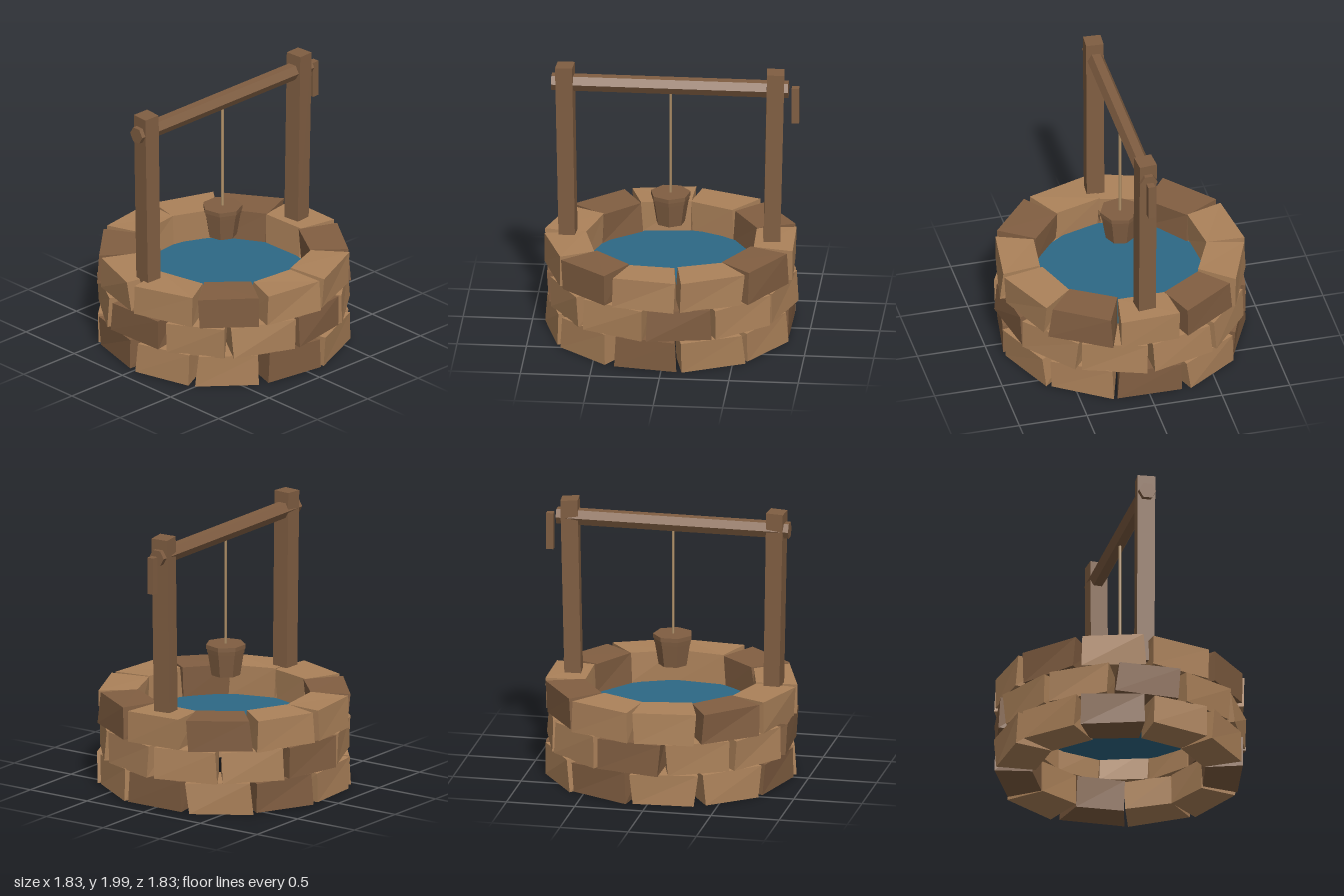
import * as THREE from 'three';

const mat = (name, color, side = THREE.FrontSide) => {
  const m = new THREE.MeshStandardMaterial({ color, side, flatShading: true });
  m.name = name;
  return m;
};

export function createModel() {
  const well = new THREE.Group();
  well.name = 'well';
  const lightStone = mat('light stone', 0xac825a);
  const darkStone = mat('dark stone', 0x825f42);
  const wood = mat('wood', 0x805e42);
  const water = mat('water', 0x2d6986);
  const rope = mat('rope', 0xb09068);

  // Seeded jitter in the range -1..1
  let seed = 11;
  const jitter = () => {
    seed = (seed * 16807) % 2147483647;
    return (seed / 2147483647) * 2 - 1;
  };

  const add = (name, geometry, material, parent = well, x = 0, y = 0, z = 0) => {
    const mesh = new THREE.Mesh(geometry, material);
    mesh.name = name;
    mesh.position.set(x, y, z);
    parent.add(mesh);
    return mesh;
  };

  // Moves each of a unit box's eight corners by a rule
  const cornerBox = (rule) => {
    const g = new THREE.BoxGeometry(1, 1, 1).toNonIndexed();
    const p = g.attributes.position;
    const corners = new Map();
    for (let i = 0; i < p.count; i++) {
      const s = [p.getX(i), p.getY(i), p.getZ(i)].map(Math.sign);
      const key = s.join();
      if (!corners.has(key)) corners.set(key, rule(...s));
      p.setXYZ(i, ...corners.get(key));
    }
    g.computeVertexNormals();
    return g;
  };

  // Wall: three staggered rings of rough wedge stones
  const COUNT = 11;
  const step = (Math.PI * 2) / COUNT;
  const rowY = [0.125, 0.355, 0.585];
  const wall = new THREE.Group();
  wall.name = 'stoneWall';
  well.add(wall);
  for (let row = 0; row < 3; row++) {
    for (let i = 0; i < COUNT; i++) {
      const stone = cornerBox((sx, sy, sz) => {
        const r = (sx > 0 ? 0.905 : 0.62) + jitter() * 0.015;
        const a = sz * (sx > 0 ? 0.255 : 0.283) + jitter() * 0.022;
        return [r * Math.cos(a), sy * 0.114 + jitter() * 0.006, r * Math.sin(a)];
      });
      const material = (i + row) % 3 === 0 ? darkStone : lightStone;
      const mesh = add('stone', stone, material, wall, 0, rowY[row]);
      mesh.rotation.y = -(i + (row % 2) / 2) * step;
    }
  }

  // Water slab held inside the wall
  add('water', new THREE.CylinderGeometry(0.62, 0.62, 0.08, 16), water, well, 0, 0.44);

  // Slightly leaning posts, set into the top ring
  const post = (name, topX, baseX, skew) => add(name, cornerBox((sx, sy, sz) => {
    const half = sy > 0 ? 0.062 : 0.059;
    const x = sy > 0 ? topX : baseX;
    return [x + sx * half + sz * skew, sy > 0 ? 1.995 - sx * skew * 0.5 : 0.55, 0.004 + sz * 0.064 - sx * skew];
  }), wood);
  post('leftPost', 0.75, 0.72, 0.006);
  post('rightPost', -0.767, -0.742, -0.004);

  // Six-sided crossbeam, with an edge at front and back
  const beam = new THREE.CylinderGeometry(0.063, 0.063, 1.705, 6);
  beam.rotateZ(Math.PI / 2);
  add('crossbeam', beam, wood, well, -0.01, 1.863);

  // Crank plate beside the beam end
  add('crank', new THREE.BoxGeometry(0.053, 0.27, 0.052), wood, well, 0.893, 1.745);

  // Rope
  add('rope', new THREE.CylinderGeometry(0.01, 0.01, 0.82, 6), rope, well, -0.007, 1.42);

  // Seven-sided bucket with a stepped rim
  const bucket = new THREE.Group();
  bucket.name = 'bucket';
  bucket.position.x = -0.008;
  well.add(bucket);
  add('bucketBody', new THREE.CylinderGeometry(0.133, 0.105, 0.17, 7), wood, bucket, 0, 0.885);
  add('bucketBand', new THREE.CylinderGeometry(0.141, 0.136, 0.035, 7), wood, bucket, 0, 0.985);
  add('bucketRim', new THREE.CylinderGeometry(0.146, 0.146, 0.03, 7), wood, bucket, 0, 1.015);

  return well;
}
